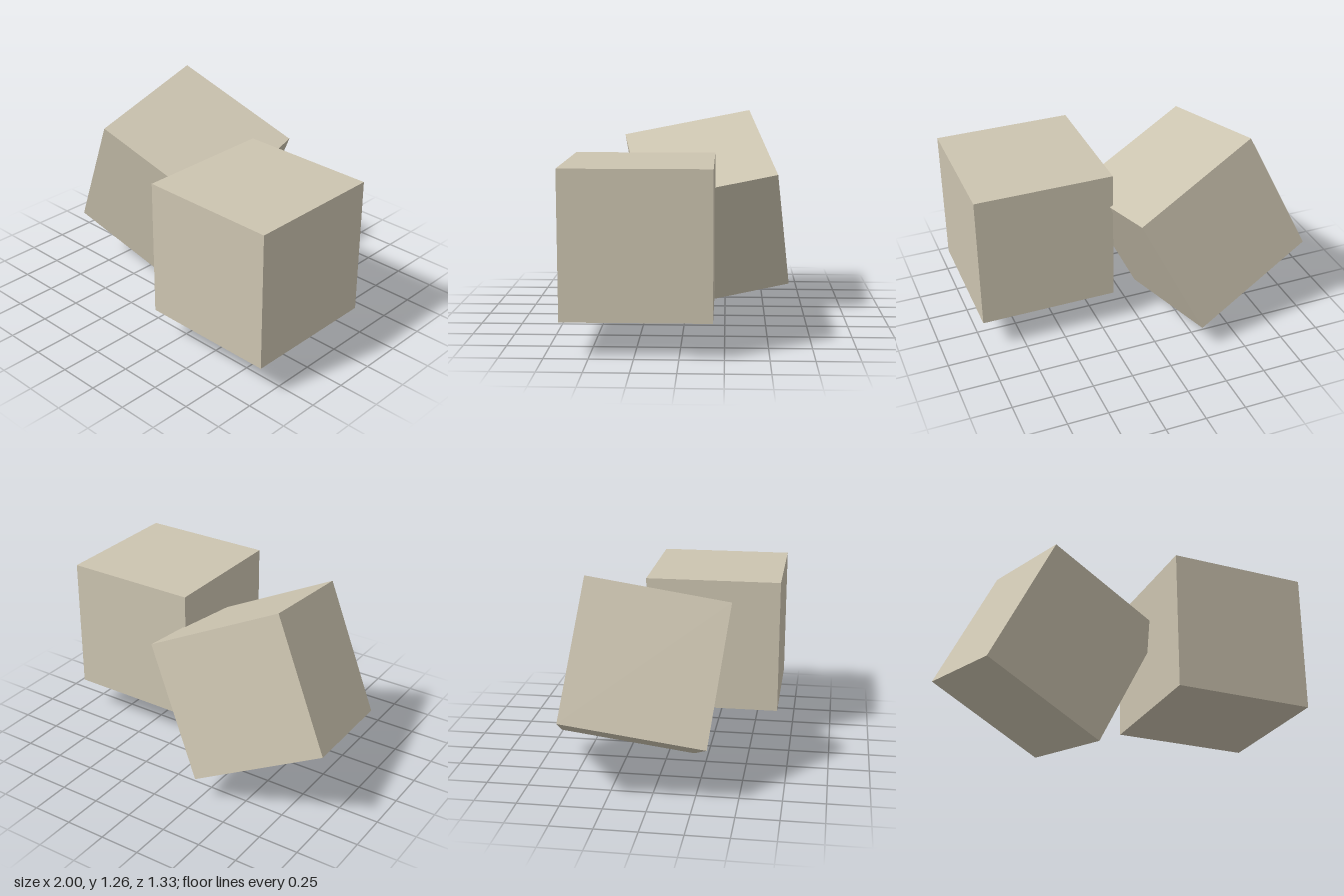
import * as THREE from 'three';

export function createModel() {
  const group = new THREE.Group();
  const stone = new THREE.MeshStandardMaterial({ color: 0xccc4b0 });
  stone.name = 'warm beige';
  const cube = new THREE.BoxGeometry(0.848, 0.848, 0.848);

  function addCube(name, position, rotation) {
    const mesh = new THREE.Mesh(cube, stone);
    mesh.name = name;
    mesh.position.set(...position);
    mesh.rotation.set(...rotation);
    group.add(mesh);
  }

  // Upright cube at the left, floating above the base plane
  addCube('uprightCube', [0.575, 0.63, 0.237], [0, 0, 0]);
  // Tumbled cube at the right, resting on one corner
  addCube('tiltedCube', [-0.385, 0.63, -0.122], [0.186, 0.13, -0.45]);

  return group;
}
